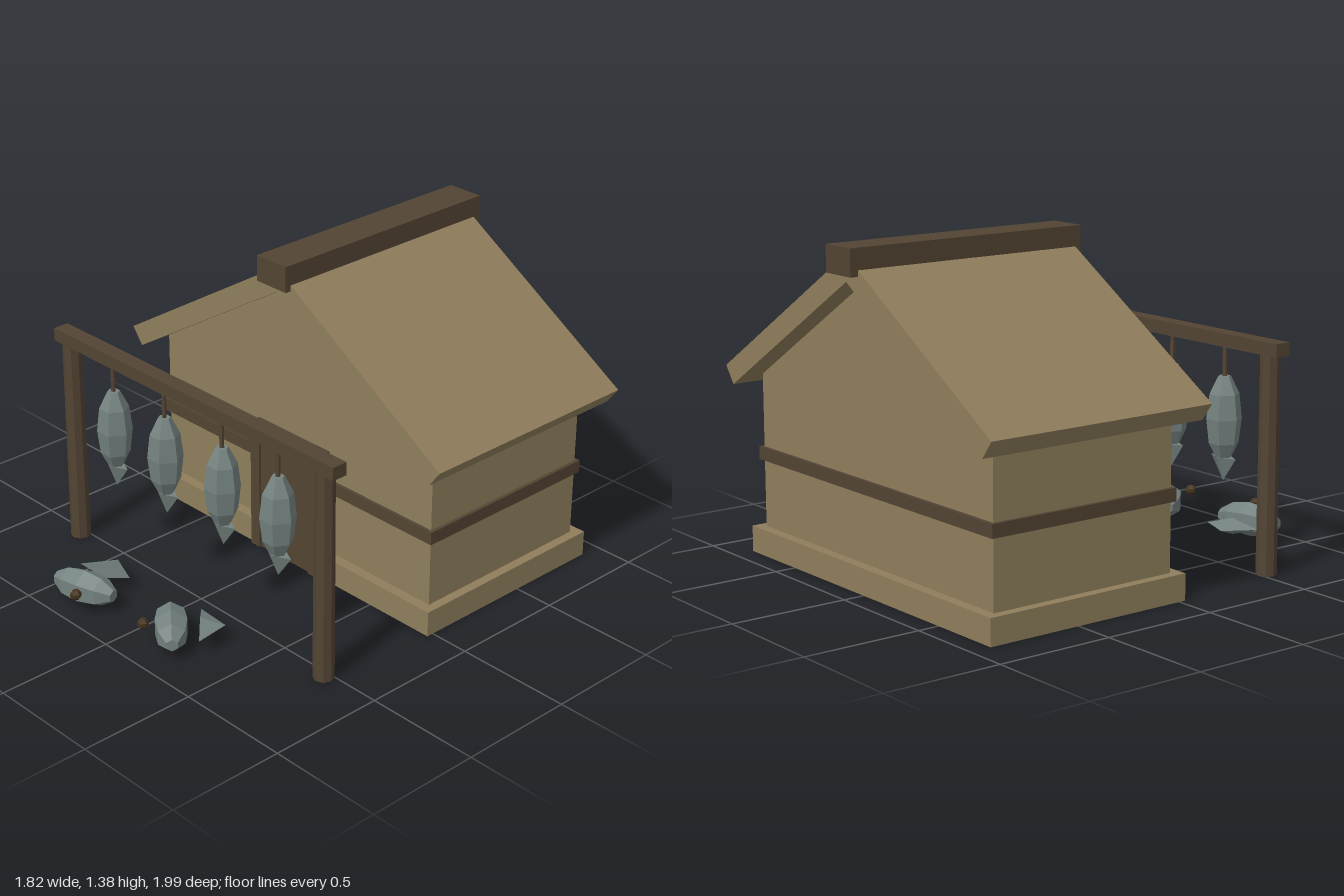
import * as THREE from 'three';

const mat = (name, color) => Object.assign(new THREE.MeshStandardMaterial({ color }), { name });

export function createModel() {
  const model = new THREE.Group();
  model.name = 'fishingHut';
  const tan = mat('tan timber', 0x8f7e5c);
  const dark = mat('dark timber', 0x524433);
  const grey = mat('fish grey', 0x74827f);
  const eyeMat = mat('eye brown', 0x46341f);

  // Adds a mesh with flat facets
  const add = (name, geometry, material, x = 0, y = 0, z = 0, parent = model) => {
    const flat = geometry.index ? geometry.toNonIndexed() : geometry;
    flat.computeVertexNormals();
    const mesh = new THREE.Mesh(flat, material);
    mesh.name = name;
    mesh.position.set(x, y, z);
    parent.add(mesh);
    return mesh;
  };
  // Box given by its lower and upper limits
  const box = (name, material, x0, x1, y0, y1, z0, z1) =>
    add(name, new THREE.BoxGeometry(x1 - x0, y1 - y0, z1 - z0), material,
      (x0 + x1) / 2, (y0 + y1) / 2, (z0 + z1) / 2);
  // Front outline extruded between two depths
  const prism = (name, material, outline, z0, z1) => {
    const shape = new THREE.Shape(outline.map(([x, y]) => new THREE.Vector2(x, y)));
    add(name, new THREE.ExtrudeGeometry(shape, { depth: z1 - z0, bevelEnabled: false }), material, 0, 0, z0);
  };

  // House
  box('base', tan, -0.825, 0.825, 0, 0.11, -0.91, 0.03);
  prism('wallsAndGables', tan,
    [[-0.785, 0.1], [0.785, 0.1], [0.785, 0.755], [0, 1.243], [-0.785, 0.755]], -0.866, -0.015);
  box('wallBand', dark, -0.8, 0.8, 0.395, 0.45, -0.882, 0);
  prism('roof', tan,
    [[-0.854, 0.713], [0, 1.241], [0.854, 0.713], [0.908, 0.785], [0, 1.346], [-0.908, 0.785]], -0.965, 0.08);
  box('ridgeBeam', dark, -0.083, 0.083, 1.27, 1.38, -1, 0.107);

  // Door and its frame
  box('door', dark, -0.15, 0.15, 0, 0.515, -0.03, 0.036);
  for (const s of [-1, 1]) {
    box('doorPost', dark, s * 0.173 - 0.026, s * 0.173 + 0.026, 0, 0.525, -0.03, 0.046);
  }
  box('doorLintel', dark, -0.21, 0.21, 0.525, 0.575, -0.03, 0.043);

  // Drying rack
  for (const s of [-1, 1]) {
    add('rackPost', new THREE.CylinderGeometry(0.04, 0.043, 0.92, 8), dark, s * 0.752, 0.46, 0.53);
  }
  box('rackBeam', dark, -0.826, 0.826, 0.9, 0.955, 0.492, 0.562);

  // Six-sided fish body along y, with blunt ends
  const fishBody = (length) => new THREE.LatheGeometry(
    [[0, -0.5], [0.026, -0.5], [0.062, -0.29], [0.074, 0], [0.062, 0.29], [0.026, 0.5], [0, 0.5]]
      .map(([r, t]) => new THREE.Vector2(r, t * length)), 6, Math.PI / 2);
  // Flattened four-sided tail, tip pointing down
  const fishTail = (halfWidth, halfThickness) =>
    new THREE.ConeGeometry(1, 0.1, 4).rotateX(Math.PI).scale(halfWidth, 1, halfThickness);

  // Hanging fish
  for (const x of [-0.495, -0.175, 0.17, 0.49]) {
    const fish = new THREE.Group();
    fish.name = 'hangingFish';
    fish.position.set(x, 0, 0.525);
    model.add(fish);
    add('string', new THREE.CylinderGeometry(0.01, 0.01, 0.16, 6), dark, 0, 0.84, 0, fish);
    add('body', fishBody(0.35), grey, 0, 0.6, 0, fish);
    add('tail', fishTail(0.073, 0.035), grey, 0, 0.39, 0, fish);
  }

  // Fish on the ground: body, tail tip direction and eye placed as [x, z]
  const up = new THREE.Vector3(0, 1, 0);
  const groundFish = [
    { body: [-0.295, 0.865], axis: [0.97, -0.25], tail: [-0.352, 0.683], tip: [-0.32, -0.95], eye: [-0.22, 0.97] },
    { body: [0.172, 0.805], axis: [0.78, 0.63], tail: [0.278, 0.68], tip: [0.68, -0.73], eye: [0.127, 0.91] },
  ];
  for (const f of groundFish) {
    const fish = new THREE.Group();
    fish.name = 'groundFish';
    model.add(fish);
    const along = new THREE.Vector3(f.axis[0], 0, f.axis[1]).normalize();
    const body = add('body', fishBody(0.285), grey, f.body[0], 0.08, f.body[1], fish);
    body.quaternion.setFromRotationMatrix(
      new THREE.Matrix4().makeBasis(up, along, up.clone().cross(along)));
    const back = new THREE.Vector3(-f.tip[0], 0, -f.tip[1]).normalize();
    const tail = add('tail', fishTail(0.12, 0.035), grey, f.tail[0], 0.08, f.tail[1], fish);
    tail.quaternion.setFromRotationMatrix(
      new THREE.Matrix4().makeBasis(back.clone().cross(up), back, up));
    add('eye', new THREE.SphereGeometry(0.024, 6, 5), eyeMat, f.eye[0], 0.118, f.eye[1], fish);
  }
  return model;
}
